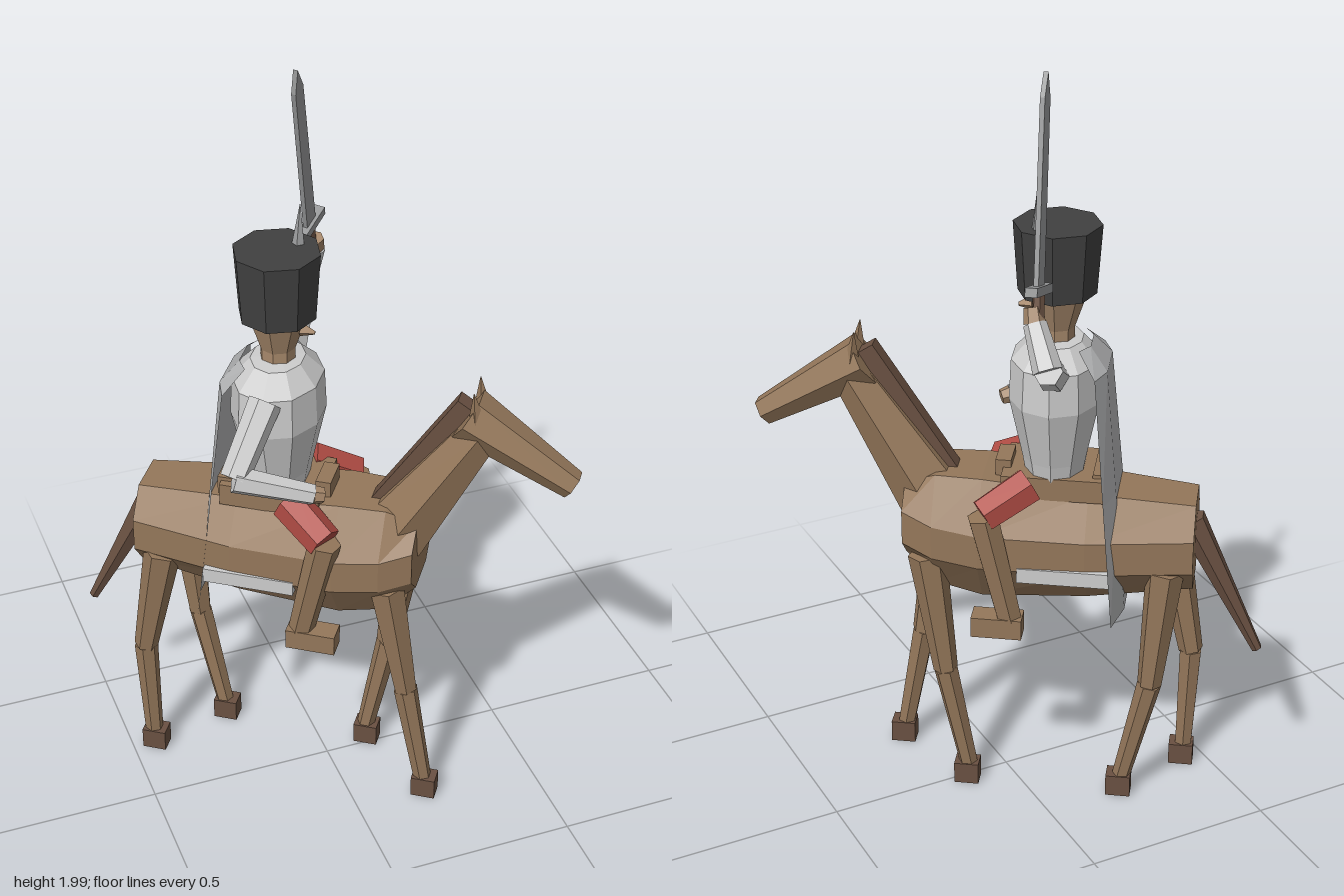
import * as THREE from 'three';

const mat = (name, color) => {
  const m = new THREE.MeshStandardMaterial({ color, flatShading: true });
  m.name = name;
  return m;
};
const V = (x, y, z) => new THREE.Vector3(x, y, z);

export function createModel() {
  const coat = mat('coat brown', 0x94775a);
  const dark = mat('dark brown', 0x6a5142);
  const skin = mat('skin', 0xa5876a);
  const red = mat('red cloth', 0xb04c44);
  const white = mat('pale cloth', 0xcdcdcd);
  const grey = mat('cape grey', 0xb2b3b4);
  const black = mat('hat black', 0x404040);
  const steel = mat('steel', 0x98999a);
  grey.side = THREE.DoubleSide;

  const root = new THREE.Group();
  root.name = 'riderOnHorse';
  // Local +x is the heading, local +z the horse's right side
  const mount = new THREE.Group();
  mount.name = 'mountedPair';
  mount.rotation.y = -35 * Math.PI / 180;
  root.add(mount);

  const add = (parent, name, geo, material, pos) => {
    const m = new THREE.Mesh(geo, material);
    m.name = name;
    if (pos) m.position.copy(pos);
    parent.add(m);
    return m;
  };
  const box = (parent, name, material, w, h, d, pos) =>
    add(parent, name, new THREE.BoxGeometry(w, h, d), material, pos);
  // Tapered faceted bar from a to b
  const limb = (parent, name, material, a, b, ra, rb, sides = 6) => {
    const dir = b.clone().sub(a);
    const geo = new THREE.CylinderGeometry(rb, ra, dir.length(), sides);
    const m = add(parent, name, geo, material, a.clone().add(b).multiplyScalar(0.5));
    m.quaternion.setFromUnitVectors(V(0, 1, 0), dir.normalize());
    return m;
  };

  // Barrel of the horse: [x, half width, top, bottom]
  const rings = [
    [-0.49, 0.118, 0.868, 0.63], [-0.22, 0.153, 0.89, 0.595],
    [0.05, 0.163, 0.915, 0.58], [0.17, 0.15, 0.915, 0.605], [0.25, 0.12, 0.885, 0.68]
  ];
  const N = 8, pos = [], idx = [];
  for (const [x, w, t, b] of rings) {
    const c = (t + b) / 2, s = 0.045;
    for (const [z, y] of [[0.5, t], [1, c + s], [1, c - s], [0.5, b], [-0.5, b], [-1, c - s], [-1, c + s], [-0.5, t]])
      pos.push(x, y, z * w);
  }
  for (let r = 0; r < rings.length - 1; r++)
    for (let i = 0; i < N; i++) {
      const a = r * N + i, b = r * N + (i + 1) % N;
      idx.push(a, b, a + N, b, b + N, a + N);
    }
  const last = (rings.length - 1) * N;
  for (let i = 1; i < N - 1; i++) idx.push(0, i + 1, i, last, last + i, last + i + 1);
  const barrel = new THREE.BufferGeometry();
  barrel.setAttribute('position', new THREE.Float32BufferAttribute(pos, 3));
  barrel.setIndex(idx);
  barrel.computeVertexNormals();
  add(mount, 'horseBody', barrel, coat);

  // Horse legs: [name, hip x, knee x, hoof x, side, knee z]
  for (const [name, hx, kx, fx, s, kz] of [
    ['frontRightLeg', 0.18, 0.235, 0.29, 1, 0.085], ['frontLeftLeg', 0.19, 0.145, 0.087, -1, 0.1],
    ['rearRightLeg', -0.42, -0.485, -0.475, 1, 0.085], ['rearLeftLeg', -0.42, -0.39, -0.32, -1, 0.1]
  ]) {
    const leg = new THREE.Group();
    leg.name = name;
    mount.add(leg);
    const knee = V(kx, 0.36, s * kz), foot = V(fx, 0.05, s * 0.085);
    limb(leg, 'upperLeg', coat, V(hx, 0.7, s * 0.095), knee, 0.05, 0.032);
    limb(leg, 'lowerLeg', coat, knee, foot, 0.032, 0.024);
    box(leg, 'hoof', dark, 0.065, 0.06, 0.05, V(fx + 0.005, 0.035, s * 0.085));
  }

  // Neck, head, ears, mane and tail
  limb(mount, 'horseNeck', coat, V(0.18, 0.82, 0), V(0.4, 1.17, 0), 0.1, 0.055);
  limb(mount, 'horseHead', coat, V(0.355, 1.195, 0), V(0.625, 1.03, 0), 0.07, 0.038);
  for (const s of [-1, 1])
    limb(mount, 'horseEar', coat, V(0.385, 1.19, s * 0.035), V(0.375, 1.28, s * 0.04), 0.024, 0.001, 4);
  const mane = box(mount, 'mane', dark, 0.05, 0.4, 0.045, V(0.245, 1.06, 0));
  mane.rotation.z = -0.575;
  limb(mount, 'tail', dark, V(-0.475, 0.8, 0), V(-0.66, 0.43, 0), 0.04, 0.014);

  // Saddle and cloth
  box(mount, 'saddleCloth', white, 0.24, 0.04, 0.325, V(-0.17, 0.69, 0));
  box(mount, 'saddle', coat, 0.26, 0.06, 0.19, V(-0.13, 0.905, 0));
  box(mount, 'pommel', coat, 0.04, 0.05, 0.09, V(0.0, 0.93, 0));
  box(mount, 'cantle', coat, 0.04, 0.05, 0.15, V(-0.25, 0.92, 0));

  // Rider legs
  for (const s of [-1, 1]) {
    const knee = V(0.035, 0.855, s * 0.16);
    limb(mount, 'thigh', red, V(-0.075, 0.92, s * 0.1), knee, 0.05, 0.046);
    limb(mount, 'lowerLeg', coat, knee, V(-0.03, 0.56, s * 0.15), 0.042, 0.034);
    box(mount, 'boot', coat, 0.13, 0.055, 0.06, V(0, 0.54, s * 0.152));
  }

  // Rider torso, head and hat
  const X = -0.127;
  const profile = [[0, 0.9], [0.09, 0.9], [0.105, 0.97], [0.148, 1.13], [0.142, 1.235], [0.085, 1.285], [0, 1.29]];
  const torso = add(mount, 'torso', new THREE.LatheGeometry(
    profile.map(([r, y]) => new THREE.Vector2(r, y)), 10), white, V(X, 0, 0));
  torso.scale.x = 0.8;
  limb(mount, 'neck', skin, V(X, 1.26, 0), V(X, 1.35, 0), 0.045, 0.045, 8);
  limb(mount, 'face', skin, V(X, 1.315, 0), V(X, 1.42, 0), 0.045, 0.08, 8);
  limb(mount, 'nose', skin, V(X + 0.06, 1.37, 0), V(X + 0.095, 1.365, 0), 0.02, 0.005, 4);
  limb(mount, 'hat', black, V(X, 1.405, 0), V(X, 1.583, 0), 0.098, 0.11, 8);
  limb(mount, 'plume', steel, V(-0.085, 1.57, -0.045), V(-0.084, 1.68, -0.06), 0.018, 0.001, 5);

  // Cape: rows of [y, x, half width], with the centre pushed back
  const rows = [[1.28, -0.19, 0.075], [1.225, -0.235, 0.125], [0.9, -0.265, 0.162], [0.58, -0.295, 0.2]];
  const cols = [-1, -0.5, 0.5, 1];
  const cape = new THREE.PlaneGeometry(1, 1, cols.length - 1, rows.length - 1);
  rows.forEach(([y, x, w], r) => cols.forEach((c, i) =>
    cape.attributes.position.setXYZ(r * cols.length + i, x - (Math.abs(c) < 1 ? 0.025 : 0), y, c * w)));
  cape.computeVertexNormals();
  add(mount, 'cape', cape, grey);

  // Arms
  const rElbow = V(-0.285, 1.08, 0.115), rHand = V(-0.1, 1.025, 0.17);
  limb(root, 'rightUpperArm', white, V(-0.175, 1.23, 0.035), rElbow, 0.042, 0.036);
  limb(root, 'rightForearm', white, rElbow, rHand, 0.036, 0.027);
  limb(root, 'rightHand', skin, rHand, V(-0.075, 1.02, 0.175), 0.024, 0.02);
  const lElbow = V(0.073, 1.345, -0.36), lHand = V(0.073, 1.44, -0.295);
  limb(root, 'leftUpperArm', white, V(-0.035, 1.235, -0.18), lElbow, 0.042, 0.036);
  limb(root, 'leftForearm', white, lElbow, lHand, 0.036, 0.028);
  limb(root, 'leftHand', skin, lHand, V(0.07, 1.475, -0.28), 0.026, 0.022);

  // Raised sword, its flat turned along x = -z
  const sword = new THREE.Group();
  sword.name = 'sword';
  const up = V(-0.075, 0.485, 0.115).normalize();
  const flat = V(1, 0, -1).addScaledVector(up, -V(1, 0, -1).dot(up)).normalize();
  sword.quaternion.setFromRotationMatrix(
    new THREE.Matrix4().makeBasis(flat, up, flat.clone().cross(up)));
  sword.position.set(0.055, 1.515, -0.28);
  root.add(sword);
  const outline = new THREE.Shape([[-0.024, 0], [0.024, 0], [0.021, 0.44], [0, 0.498], [-0.021, 0.44]]
    .map(([x, y]) => new THREE.Vector2(x, y)));
  add(sword, 'blade', new THREE.ExtrudeGeometry(outline, { depth: 0.012, bevelEnabled: false }), steel, V(0, 0, -0.006));
  box(sword, 'guard', steel, 0.12, 0.022, 0.03, V(0, 0, 0));
  limb(sword, 'grip', dark, V(0, -0.1, 0), V(0, 0, 0), 0.015, 0.015);

  return root;
}
